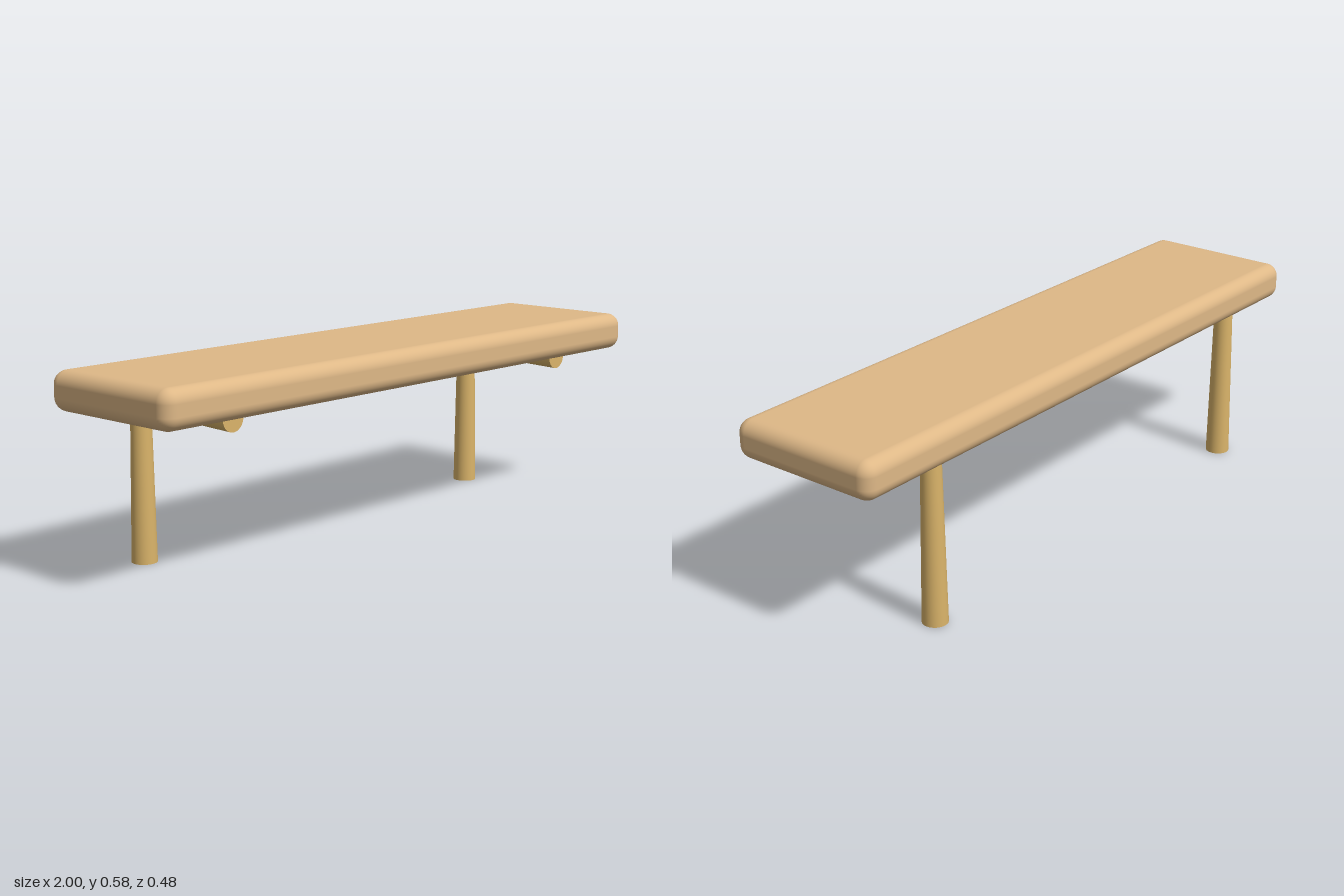
import * as THREE from 'three';
import { RoundedBoxGeometry } from 'three/addons/geometries/RoundedBoxGeometry.js';

export function createModel() {
  const group = new THREE.Group();
  const seatWood = new THREE.MeshStandardMaterial({ color: 0xdeb887 });
  seatWood.name = 'seat wood';
  const legWood = new THREE.MeshStandardMaterial({ color: 0xdab46a });
  legWood.name = 'leg wood';

  const add = (name, geometry, material, x, y, z) => {
    const mesh = new THREE.Mesh(geometry, material);
    mesh.name = name;
    mesh.position.set(x, y, z);
    group.add(mesh);
    return mesh;
  };

  // Thick plank with softly rounded edges
  add('seat', new RoundedBoxGeometry(2, 0.115, 0.484, 6, 0.04), seatWood, 0, 0.5275, 0);

  // Tapered rear post and forward support arm on each side
  const postGeometry = new THREE.CylinderGeometry(0.029, 0.0375, 0.5, 32);
  const armGeometry = new THREE.CylinderGeometry(0.037, 0.025, 0.38, 32);
  armGeometry.rotateX(Math.PI / 2);
  for (const [side, x] of [['left', 0.715], ['right', -0.715]]) {
    add(side + 'Post', postGeometry, legWood, x, 0.25, -0.2);
    add(side + 'SupportArm', armGeometry, legWood, x, 0.465, -0.01);
  }
  return group;
}
